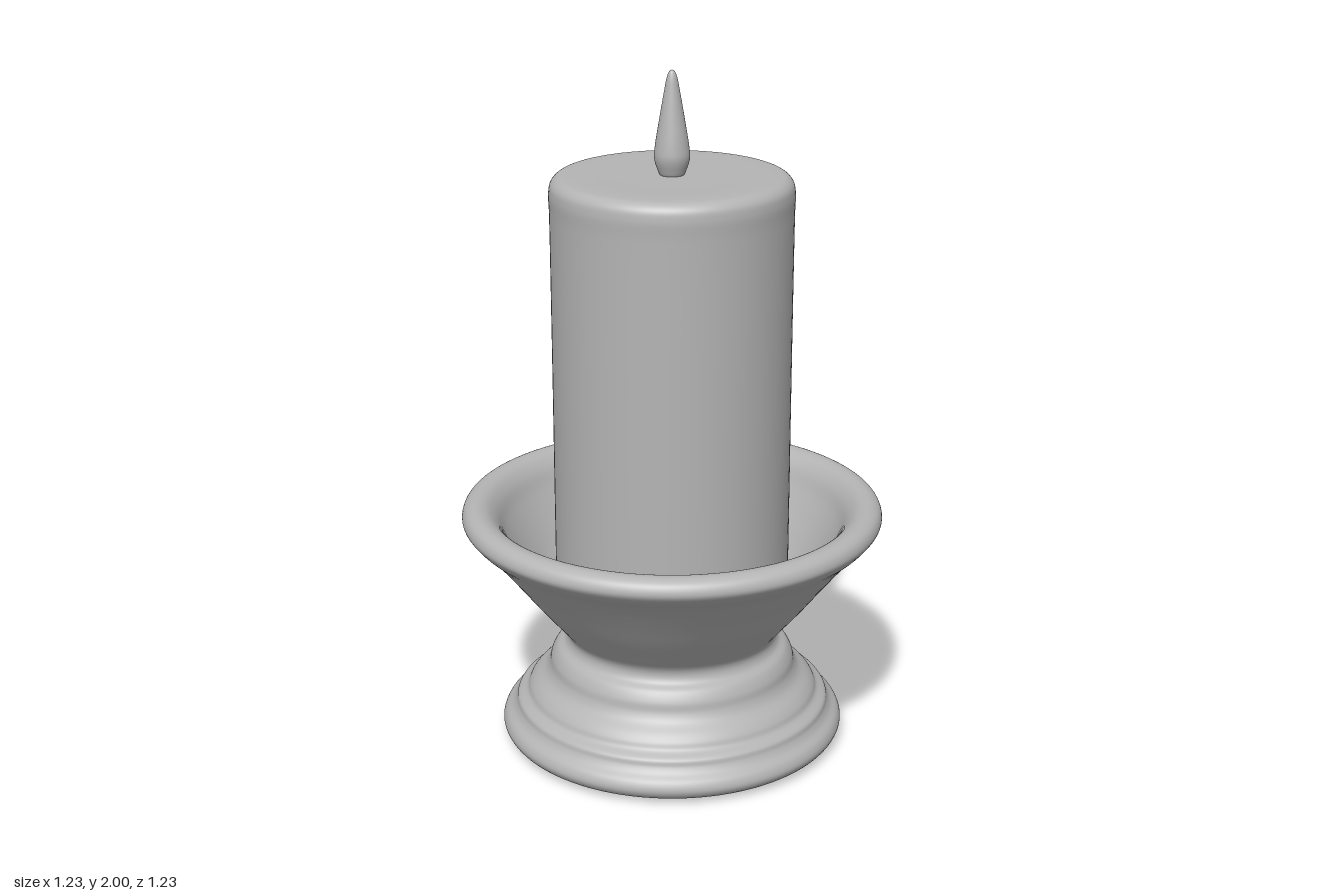
import * as THREE from 'three';

const grey = new THREE.MeshStandardMaterial({ color: 0xb4b4b4 });
grey.name = 'plain grey';

// Smooth turned part: a spline through [radius, height] points, spun round y
function turned(name, points, steps, segments) {
  const curve = new THREE.CatmullRomCurve3(
    points.map(([r, y]) => new THREE.Vector3(r, y, 0)), false, 'centripetal');
  const profile = curve.getPoints(steps).map(p => new THREE.Vector2(Math.max(p.x, 0), p.y));
  const mesh = new THREE.Mesh(new THREE.LatheGeometry(profile, segments), grey);
  mesh.name = name;
  return mesh;
}

export function createModel() {
  const group = new THREE.Group();
  group.name = 'candleInHolder';

  // Holder: flat underside, stepped foot, neck, flared bowl, rolled rim, inside
  group.add(turned('holder', [
    [0, 0], [0.2, 0], [0.4, 0.002], [0.46, 0.008], [0.495, 0.022],
    [0.508, 0.045], [0.5, 0.07], [0.478, 0.09],
    [0.468, 0.105], [0.462, 0.122], [0.435, 0.14],
    [0.425, 0.158], [0.41, 0.175], [0.38, 0.2],
    [0.367, 0.222], [0.36, 0.25], [0.343, 0.278],
    [0.32, 0.295], [0.312, 0.315], [0.316, 0.335],
    [0.345, 0.372], [0.41, 0.45], [0.48, 0.54], [0.55, 0.625],
    [0.597, 0.67], [0.614, 0.697], [0.605, 0.724], [0.578, 0.738],
    [0.545, 0.732], [0.515, 0.705], [0.485, 0.65], [0.43, 0.565],
    [0.38, 0.5], [0.33, 0.455], [0.2, 0.44], [0, 0.44],
  ], 210, 96));

  // Candle: straight side with a softly rounded top edge
  group.add(turned('candle', [
    [0.343, 0.44], [0.343, 0.8], [0.343, 1.2], [0.344, 1.6], [0.345, 1.66],
    [0.339, 1.686], [0.322, 1.702], [0.295, 1.707], [0.15, 1.707], [0, 1.707],
  ], 100, 96));

  // Flame: slim teardrop
  group.add(turned('flame', [
    [0, 1.7], [0.03, 1.702], [0.042, 1.725], [0.05, 1.755], [0.048, 1.785],
    [0.036, 1.86], [0.022, 1.94], [0.014, 1.98], [0.007, 1.996], [0, 2],
  ], 50, 40));

  return group;
}
